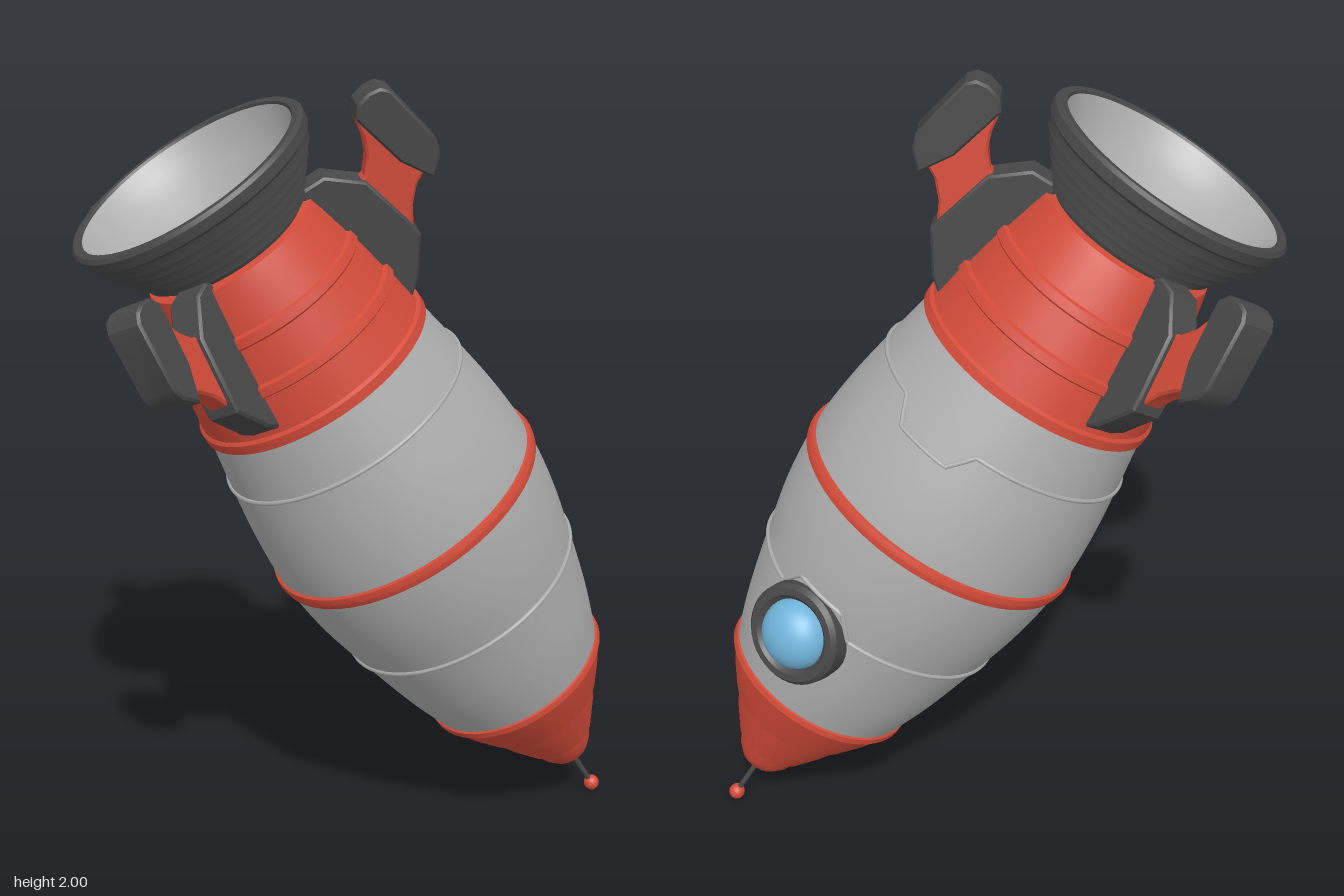
import * as THREE from 'three';
import { toCreasedNormals } from 'three/addons/utils/BufferGeometryUtils.js';

const material = (name, color, extra = {}) => {
  const m = new THREE.MeshStandardMaterial({ color, ...extra });
  m.name = name;
  return m;
};

export function createModel() {
  const grey = material('hull grey', 0xadadad);
  const red = material('paint red', 0xd34b39);
  const dark = material('dark rubber', 0x484848);
  const blue = material('window blue', 0x70b4da);

  // Rocket space: +y runs from nose to tail, +x points at the window
  const rocket = new THREE.Group();
  rocket.name = 'rocket';
  const add = (name, geometry, mat, parent = rocket) => {
    const mesh = new THREE.Mesh(geometry, mat);
    mesh.name = name;
    parent.add(mesh);
    return mesh;
  };
  const vec = pts => pts.map(p => new THREE.Vector2(p[0], p[1]));
  const lathe = (pts, segments = 64) =>
    toCreasedNormals(new THREE.LatheGeometry(vec(pts), segments), 0.4);

  // Hull
  const hullCurve = new THREE.SplineCurve(vec([
    [0.24, 0.46], [0.283, 0.6], [0.325, 0.784], [0.353, 0.93], [0.364, 1.077],
    [0.354, 1.22], [0.329, 1.376], [0.3, 1.53],
  ]));
  const hullPoints = hullCurve.getPoints(42);
  add('hull', new THREE.LatheGeometry(hullPoints, 64), grey);
  const hullRadius = s => {
    const i = Math.max(1, hullPoints.findIndex(p => p.y >= s));
    const a = hullPoints[i - 1], b = hullPoints[i];
    return a.x + (b.x - a.x) * (s - a.y) / (b.y - a.y);
  };

  // Raised panel seams, each with a trapezoid jog on the window side
  const seam = (name, s, jog) => {
    const pts = [];
    for (let deg = -180; deg < 180; deg += 4) {
      const k = THREE.MathUtils.clamp((20 - Math.abs(deg)) / 8, 0, 1);
      const y = s + jog * k, r = hullRadius(y) + 0.001, a = THREE.MathUtils.degToRad(deg);
      pts.push(new THREE.Vector3(r * Math.cos(a), y, r * Math.sin(a)));
    }
    const path = new THREE.CatmullRomCurve3(pts, true, 'catmullrom', 0);
    add(name, new THREE.TubeGeometry(path, 180, 0.006, 6, true), grey);
  };
  seam('noseSeam', 0.784, 0.06);
  seam('tailSeam', 1.376, -0.06);

  // Red belt round the widest part
  add('belt', lathe([
    [0.355, 1.058], [0.372, 1.062], [0.375, 1.077], [0.372, 1.092], [0.355, 1.096],
  ]), red);

  // Stepped nose cone
  add('noseCone', lathe([
    [0, 0.118], [0.03, 0.122], [0.055, 0.138], [0.075, 0.165], [0.092, 0.205],
    [0.1, 0.208], [0.14, 0.275], [0.17, 0.335], [0.177, 0.338], [0.215, 0.4],
    [0.243, 0.455], [0.252, 0.462], [0.252, 0.478], [0.238, 0.484],
  ]), red);

  // Antenna
  const rod = add('antennaRod', new THREE.CylinderGeometry(0.007, 0.007, 0.13, 10), dark);
  rod.position.y = 0.07;
  add('antennaBall', new THREE.SphereGeometry(0.021, 16, 12), red);

  // Stepped tail section
  add('tailSection', lathe([
    [0.295, 1.512], [0.313, 1.516], [0.312, 1.54], [0.303, 1.546], [0.289, 1.635],
    [0.295, 1.64], [0.291, 1.662], [0.28, 1.666], [0.262, 1.755], [0.266, 1.76],
    [0.261, 1.782], [0.252, 1.786], [0.232, 1.865], [0.222, 1.9], [0.15, 1.915],
  ]), red);

  // Ridged nozzle shell with rim
  const shell = [[0.19, 1.89]];
  for (let i = 0; i < 5; i++) {
    const r = 0.205 + i * 0.019, s = 1.915 + i * 0.027;
    shell.push([r, s], [r + 0.014, s + 0.004], [r + 0.016, s + 0.02]);
  }
  shell.push([0.3, 2.052], [0.311, 2.06], [0.313, 2.085], [0.305, 2.094], [0.288, 2.094], [0.28, 2.08]);
  add('nozzleShell', lathe(shell), dark);

  // Nozzle lining and throat
  add('nozzleLining', lathe([
    [0.284, 2.088], [0.262, 2.05], [0.225, 2.005], [0.147, 1.955], [0.147, 1.66], [0, 1.66],
  ]), grey);

  // Window
  const porthole = new THREE.Group();
  porthole.name = 'porthole';
  porthole.position.set(0.31, 0.716, 0);
  porthole.rotation.z = -Math.PI / 2 - 0.05;
  rocket.add(porthole);
  add('windowFrame', lathe([
    [0.122, -0.06], [0.128, 0], [0.126, 0.03], [0.116, 0.042], [0.1, 0.042],
    [0.088, 0.03], [0.084, 0.01],
  ], 40), dark, porthole);
  const glass = add('windowGlass',
    new THREE.SphereGeometry(0.088, 32, 12, 0, Math.PI * 2, 0, Math.PI / 2), blue, porthole);
  glass.scale.y = 0.8;
  glass.position.y = 0.018;

  // Fins: outlines are (distance from axis, distance along axis)
  const plate = (pts, thickness) => {
    const bevel = 0.006;
    const g = new THREE.ExtrudeGeometry(new THREE.Shape(vec(pts)), {
      depth: thickness - 2 * bevel, bevelEnabled: true, bevelSize: bevel,
      bevelOffset: -bevel, bevelThickness: bevel, bevelSegments: 1,
    });
    return toCreasedNormals(g.translate(0, 0, bevel - thickness / 2), 0.5);
  };
  const bracket = plate([
    [0.2, 1.56], [0.29, 1.55], [0.33, 1.585], [0.392, 1.68], [0.386, 1.715],
    [0.348, 1.86], [0.27, 1.925], [0.2, 1.925],
  ], 0.085);
  const arm = plate([
    [0.33, 1.68], [0.382, 1.69], [0.41, 1.745], [0.445, 1.785], [0.49, 1.81],
    [0.48, 1.98], [0.4, 2.0], [0.394, 1.95], [0.38, 1.91], [0.35, 1.87], [0.32, 1.86],
  ], 0.055);
  const foot = plate([
    [0.437, 1.86], [0.485, 1.782], [0.526, 1.825], [0.536, 1.86], [0.503, 2.015],
    [0.485, 2.034], [0.455, 2.038], [0.42, 2.028], [0.4, 2.0],
  ], 0.095);
  for (const angle of [60, 180, 300]) {
    const fin = new THREE.Group();
    fin.name = 'fin';
    fin.rotation.y = THREE.MathUtils.degToRad(angle);
    add('finBracket', bracket, dark, fin);
    add('finArm', arm, red, fin);
    add('finFoot', foot, dark, fin);
    rocket.add(fin);
  }

  // Lean the rocket, nose down, with the antenna ball on the ground
  const tail = new THREE.Vector3(-0.96, 1.77, 0.58).normalize();
  const side = new THREE.Vector3(0.09, 0.35, -0.93);
  side.addScaledVector(tail, -side.dot(tail)).normalize();
  const third = new THREE.Vector3().crossVectors(side, tail);
  rocket.quaternion.setFromRotationMatrix(new THREE.Matrix4().makeBasis(side, tail, third));
  rocket.position.set(0.635, 0.022, -0.43);

  const model = new THREE.Group();
  model.name = 'model';
  model.add(rocket);
  return model;
}
